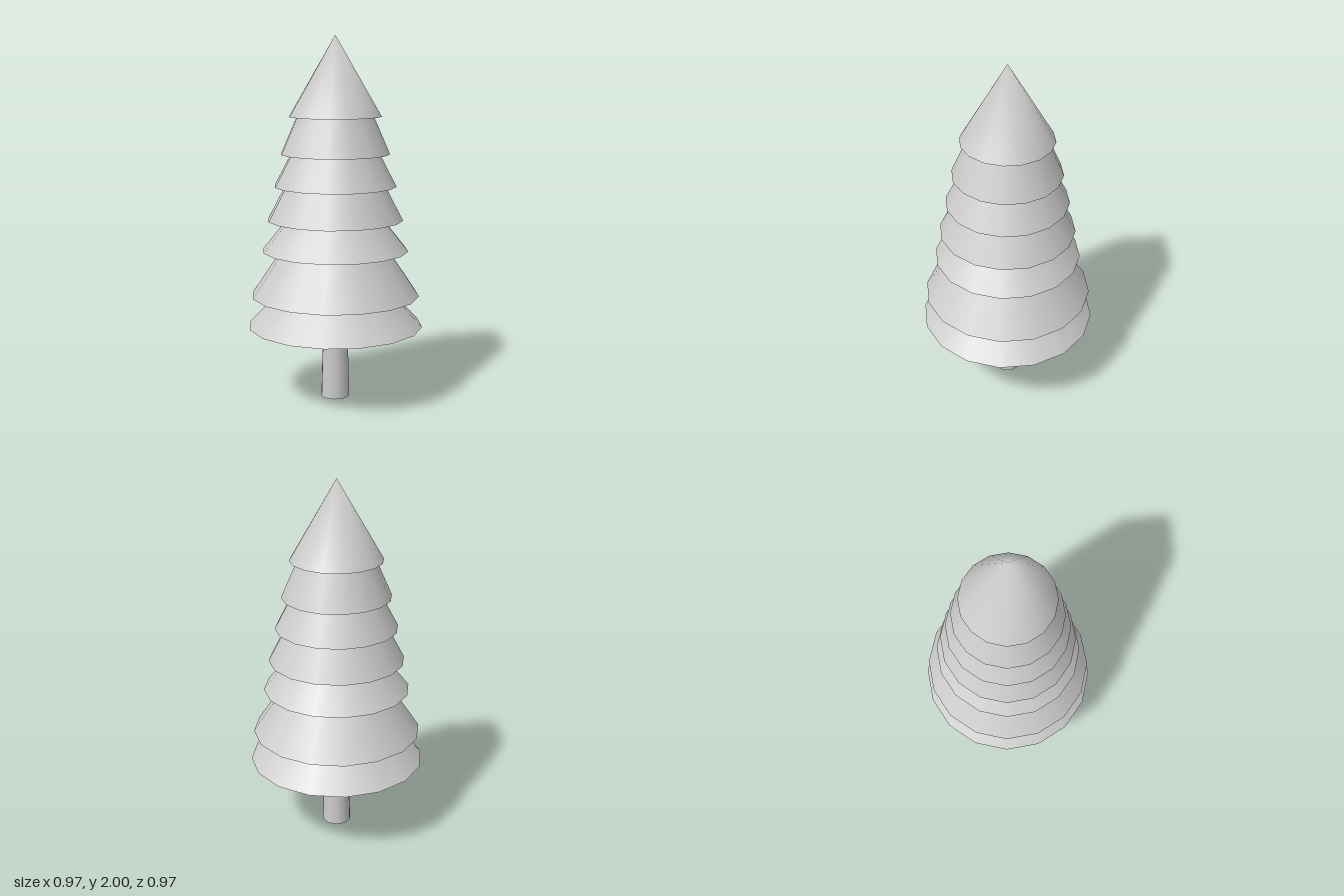
import * as THREE from 'three';

const SIDES = 16;

// Branch tiers from top to bottom: [top y, top radius, bottom y, bottom radius]
const TIERS = [
  [2.0, 0, 1.567, 0.252],
  [1.567, 0.21, 1.365, 0.298],
  [1.365, 0.243, 1.19, 0.335],
  [1.19, 0.275, 1.005, 0.372],
  [1.005, 0.265, 0.835, 0.402],
  [0.835, 0.295, 0.585, 0.464],
  [0.585, 0.317, 0.412, 0.483],
];
const TRUNK_TOP = 0.068;

export function createModel() {
  const group = new THREE.Group();
  const grey = new THREE.MeshStandardMaterial({ color: 0xcccccc });
  grey.name = 'light grey';

  const add = (parent, name, geometry, y) => {
    const mesh = new THREE.Mesh(geometry, grey);
    mesh.name = name;
    mesh.position.y = y;
    parent.add(mesh);
    return mesh;
  };

  // Foliage: sloping skirts, each with a flat underside
  TIERS.forEach(([topY, topR, bottomY, bottomR], i) => {
    const tier = new THREE.Group();
    tier.name = `branchTier${i + 1}`;
    group.add(tier);

    const height = topY - bottomY;
    const skirt = new THREE.CylinderGeometry(topR, bottomR, height, SIDES, 1, true);
    if (topR === 0) {
      // Rounded shading towards the tip
      const { position, normal } = skirt.attributes;
      for (let v = 0; v < position.count; v++) {
        if (position.getY(v) > 0) normal.setXYZ(v, 0, 1, 0);
      }
    }
    add(tier, 'skirt', skirt, bottomY + height / 2);

    // The underside reaches in to the part below it
    const innerR = i + 1 < TIERS.length ? TIERS[i + 1][1] : TRUNK_TOP;
    const underside = new THREE.RingGeometry(innerR, bottomR, SIDES);
    underside.rotateX(Math.PI / 2);
    add(tier, 'underside', underside, bottomY);
  });

  // Trunk, slightly wider at the foot
  const trunkHeight = TIERS[TIERS.length - 1][2];
  add(group, 'trunk', new THREE.CylinderGeometry(TRUNK_TOP, 0.079, trunkHeight, SIDES), trunkHeight / 2);

  return group;
}
